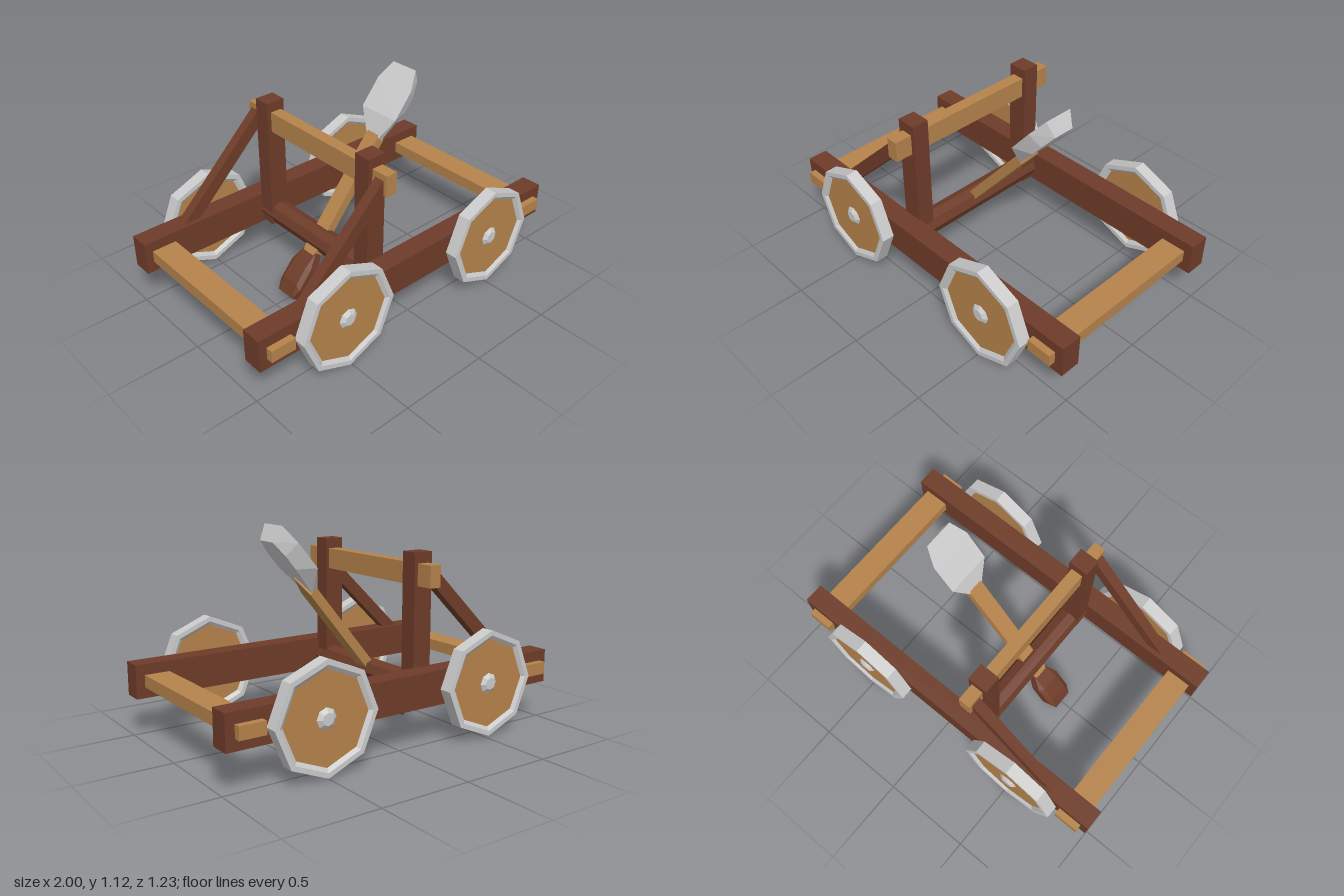
import * as THREE from 'three';
import { ConvexGeometry } from 'three/addons/geometries/ConvexGeometry.js';

const material = (color) => new THREE.MeshStandardMaterial({ color, flatShading: true });

export function createModel() {
  const model = new THREE.Group();
  model.name = 'catapult';
  const wood = material(0xb5834b), darkWood = material(0x6e3c29), metal = material(0xcccccc);

  function add(parent, name, geometry, mat, x = 0, y = 0, z = 0) {
    const mesh = new THREE.Mesh(geometry, mat);
    mesh.name = name;
    mesh.position.set(x, y, z);
    parent.add(mesh);
    return mesh;
  }
  // Box given by its limits on each axis
  const beam = (name, mat, [x0, x1], [y0, y1], [z0, z1]) =>
    add(model, name, new THREE.BoxGeometry(x1 - x0, y1 - y0, z1 - z0), mat,
      (x0 + x1) / 2, (y0 + y1) / 2, (z0 + z1) / 2);

  // Frame: rails, posts and diagonal braces on both sides
  const lean = Math.atan2(0.53, 0.545);
  for (const s of [-1, 1]) {
    const span = (a, b) => (s > 0 ? [a, b] : [-b, -a]);
    beam('sideRail', darkWood, [-1, 1], [0.21, 0.393], span(0.432, 0.545));
    beam('post', darkWood, [-0.245, -0.135], [0.23, 0.985], span(0.343, 0.438));
    const brace = add(model, 'brace', new THREE.BoxGeometry(0.76, 0.07, 0.056), darkWood,
      -0.465, 0.61, s * 0.487);
    brace.rotation.z = lean;
  }

  // Cross pieces
  beam('rearCrossBeam', wood, [-0.957, -0.818], [0.268, 0.335], [-0.582, 0.582]);
  beam('frontCrossBeam', wood, [0.812, 0.952], [0.268, 0.335], [-0.582, 0.582]);
  beam('topBeam', wood, [-0.22, -0.154], [0.815, 0.929], [-0.535, 0.535]);
  add(model, 'armAxle', new THREE.CylinderGeometry(0.068, 0.068, 0.88, 8), darkWood, -0.185, 0.29, 0)
    .rotation.x = Math.PI / 2;

  // Eight-sided wheels: bevelled metal rim, wooden disc, metal hub
  const lathe = (points) => new THREE.LatheGeometry(
    points.map(([r, y]) => new THREE.Vector2(r, y)), 8).rotateX(Math.PI / 2);
  const rim = lathe([[0.237, -0.02], [0.258, -0.035], [0.285, -0.035], [0.285, 0.035],
    [0.258, 0.035], [0.237, 0.02]]);
  const disc = new THREE.CylinderGeometry(0.245, 0.245, 0.036, 8).rotateX(Math.PI / 2);
  const hub = lathe([[0, -0.035], [0.032, -0.035], [0.055, -0.018], [0.055, 0.018],
    [0.032, 0.035], [0, 0.035]]);
  for (const x of [-0.513, 0.51]) {
    for (const z of [-0.581, 0.581]) {
      const wheel = new THREE.Group();
      wheel.name = 'wheel';
      wheel.position.set(x, 0.29, z);
      add(wheel, 'wheelRim', rim, metal);
      add(wheel, 'wheelDisc', disc, wood);
      add(wheel, 'wheelHub', hub, metal);
      model.add(wheel);
    }
  }

  // Throwing arm: local x runs along the arm, origin at its axle
  const arm = new THREE.Group();
  arm.name = 'throwingArm';
  arm.position.set(-0.185, 0.29, 0);
  arm.rotation.z = 0.882;
  model.add(arm);

  // Shaft with pointed ends
  const outline = [[-0.18, 0], [-0.08, -0.045], [0.62, -0.045], [0.733, 0], [0.62, 0.045], [-0.08, 0.045]];
  const shaft = new THREE.ExtrudeGeometry(
    new THREE.Shape(outline.map(([x, z]) => new THREE.Vector2(x, z))),
    { depth: 0.052, bevelEnabled: false });
  shaft.translate(0, 0, -0.026).rotateX(Math.PI / 2);
  add(arm, 'armShaft', shaft, wood);

  // Faceted solid from corners [along, up, half width], mirrored in z
  const faceted = (corners) => new ConvexGeometry(corners.flatMap(([x, y, z]) =>
    [new THREE.Vector3(x, y, z), new THREE.Vector3(x, y, -z)]));

  add(arm, 'bucket', faceted([
    [0.62, 0.02, 0.045], [0.74, 0.063, 0.125], [0.915, 0.063, 0.125], [1.026, 0.062, 0.083],
    [0.62, -0.012, 0.045], [0.807, -0.021, 0.088], [0.897, -0.021, 0.088], [0.989, -0.022, 0.06],
  ]), metal);

  // Butt end, with chamfered edges
  const butt = [];
  for (const s of [-1, 1]) {
    butt.push([-0.08, s * 0.022, 0.045], [-0.17, s * 0.03, 0.078], [-0.18, s * 0.045, 0.05],
      [-0.3, s * 0.032, 0.078], [-0.275, s * 0.05, 0.055], [-0.354, s * 0.031, 0.058]);
  }
  add(arm, 'armButt', faceted(butt), darkWood);

  return model;
}
